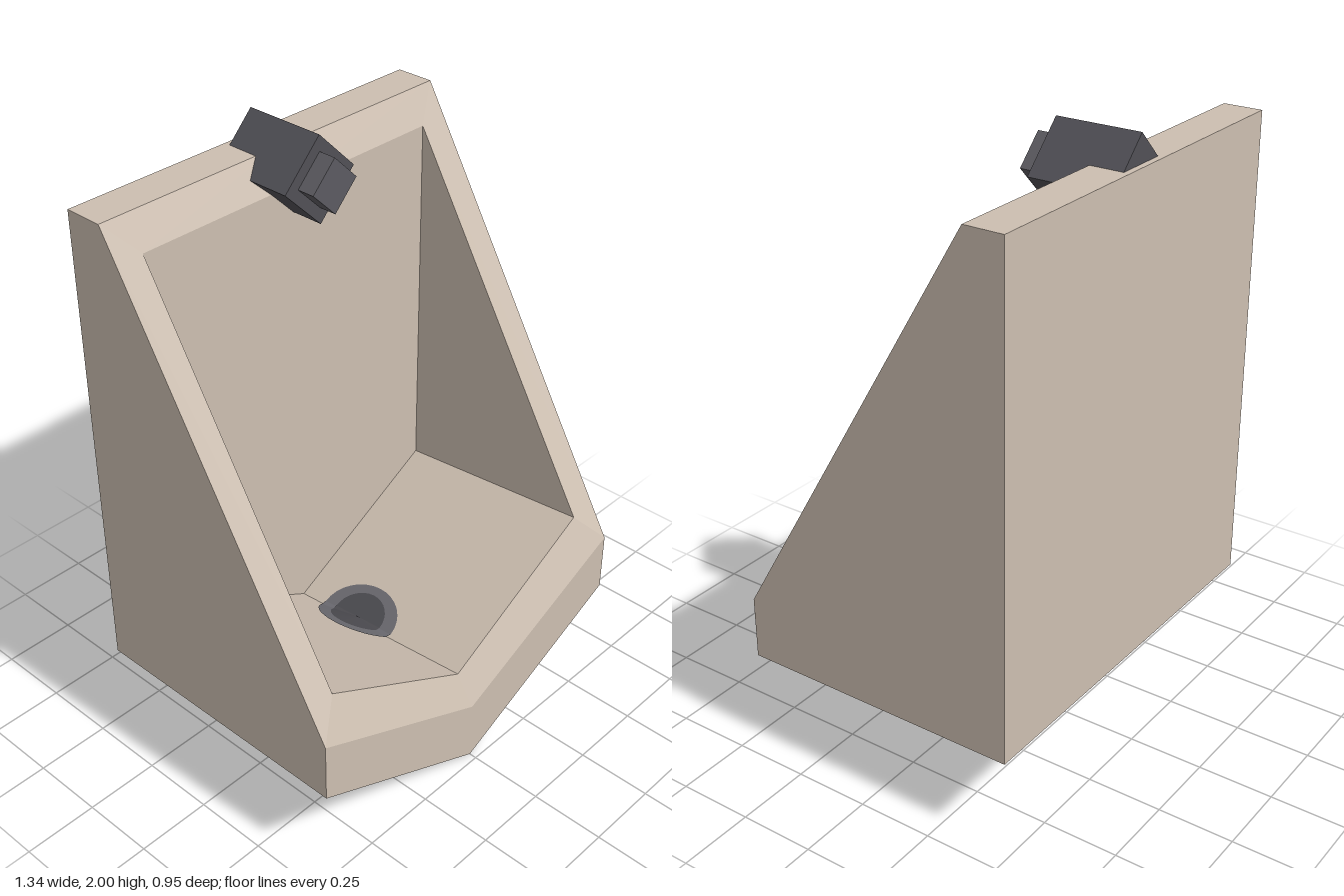
import * as THREE from 'three';

const material = (name, color) => Object.assign(new THREE.MeshStandardMaterial({ color }), { name });

// Flat-shaded polygons (one normal each), given for the -x half and mirrored to +x
function mirroredFaces(faces) {
  const positions = [], normals = [];
  const fan = (corners) => {
    const p = corners.map((c) => new THREE.Vector3(...c));
    const n = new THREE.Vector3();
    p.forEach((a, i) => n.add(a.clone().cross(p[(i + 1) % p.length])));
    n.normalize();
    for (let i = 1; i < p.length - 1; i++) {
      for (const v of [p[0], p[i], p[i + 1]]) {
        positions.push(v.x, v.y, v.z);
        normals.push(n.x, n.y, n.z);
      }
    }
  };
  for (const f of faces) {
    fan(f);
    fan(f.map(([x, y, z]) => [-x, y, z]).reverse());
  }
  const g = new THREE.BufferGeometry();
  g.setAttribute('position', new THREE.Float32BufferAttribute(positions, 3));
  g.setAttribute('normal', new THREE.Float32BufferAttribute(normals, 3));
  return g;
}

// Height of the V-shaped basin floor
const floorY = (x, z) => 0.314 + 0.541 * Math.abs(x) - 0.092 * (0.41 - z);

export function createModel() {
  const model = new THREE.Group();
  model.name = 'urinal';
  const porcelain = material('porcelain', 0xccbeb0);
  const darkMetal = material('dark metal', 0x515056);
  const metal = material('metal', 0x5c5b61);
  const drainMetal = material('drain metal', 0x6b6a70);
  const drainDark = material('drain hole', 0x4c4b50);

  const add = (name, geometry, mat) => {
    const mesh = new THREE.Mesh(geometry, mat);
    mesh.name = name;
    model.add(mesh);
    return mesh;
  };

  // Outer rim edge, from top centre down the side to bottom centre
  const rim = [[0, 1.91, -0.345], [-0.672, 1.91, -0.345], [-0.672, 0.52, 0.475], [0, 0.213, 0.475]];
  // Edge of the opening
  const lip = [[0, 1.805, -0.288], [-0.575, 1.805, -0.288], [-0.575, 0.625, 0.41], [0, 0.314, 0.41]];
  // Underside and back corners
  const frontSide = [-0.672, 0.314, 0.475], frontMid = [0, 0, 0.475];
  const backSide = [-0.672, 0.314, -0.475], backMid = [0, 0.314, -0.475];
  const backTop = [-0.672, 1.91, -0.475], backTopMid = [0, 1.91, -0.475];
  // Basin floor at the inner back wall
  const floorSide = [-0.575, floorY(0.575, -0.288), -0.288], floorMid = [0, floorY(0, -0.288), -0.288];

  add('outerShell', mirroredFaces([
    [rim[1], backTop, backSide, frontSide, rim[2]],
    [rim[2], frontSide, frontMid, rim[3]],
    [backSide, backMid, frontMid, frontSide],
    [backTop, backTopMid, backMid, backSide],
    [rim[0], backTopMid, backTop, rim[1]],
  ]), porcelain);

  add('rim', mirroredFaces([0, 1, 2].map((i) => [rim[i], rim[i + 1], lip[i + 1], lip[i]])), porcelain);

  add('basin', mirroredFaces([
    [lip[0], lip[1], floorSide, floorMid],
    [lip[1], lip[2], floorSide],
    [lip[2], lip[3], floorMid, floorSide],
  ]), porcelain);

  // Drain discs folded along the floor's V
  const disc = (name, rx, rz, lift, mat) => {
    const g = new THREE.CircleGeometry(1, 32).rotateX(-Math.PI / 2).scale(rx, 1, rz).translate(0.009, 0, -0.04);
    const p = g.attributes.position;
    for (let i = 0; i < p.count; i++) p.setY(i, floorY(p.getX(i), p.getZ(i)) + lift);
    const flat = g.toNonIndexed();
    flat.computeVertexNormals();
    add(name, flat, mat);
  };
  disc('drainPlate', 0.11, 0.15, 0.004, drainMetal);
  disc('drainHole', 0.08, 0.1, 0.008, drainDark);

  // Flush valve: square bars turned on their corners
  const bar = (name, halfDiagonal, z0, z1, mat) => {
    const s = halfDiagonal * Math.SQRT2;
    const g = new THREE.BoxGeometry(s, s, z1 - z0).rotateZ(Math.PI / 4);
    add(name, g, mat).position.set(0, 1.859, (z0 + z1) / 2);
  };
  bar('flushValve', 0.141, -0.455, -0.175, darkMetal);
  bar('flushButton', 0.089, -0.2, -0.115, metal);

  return model;
}
